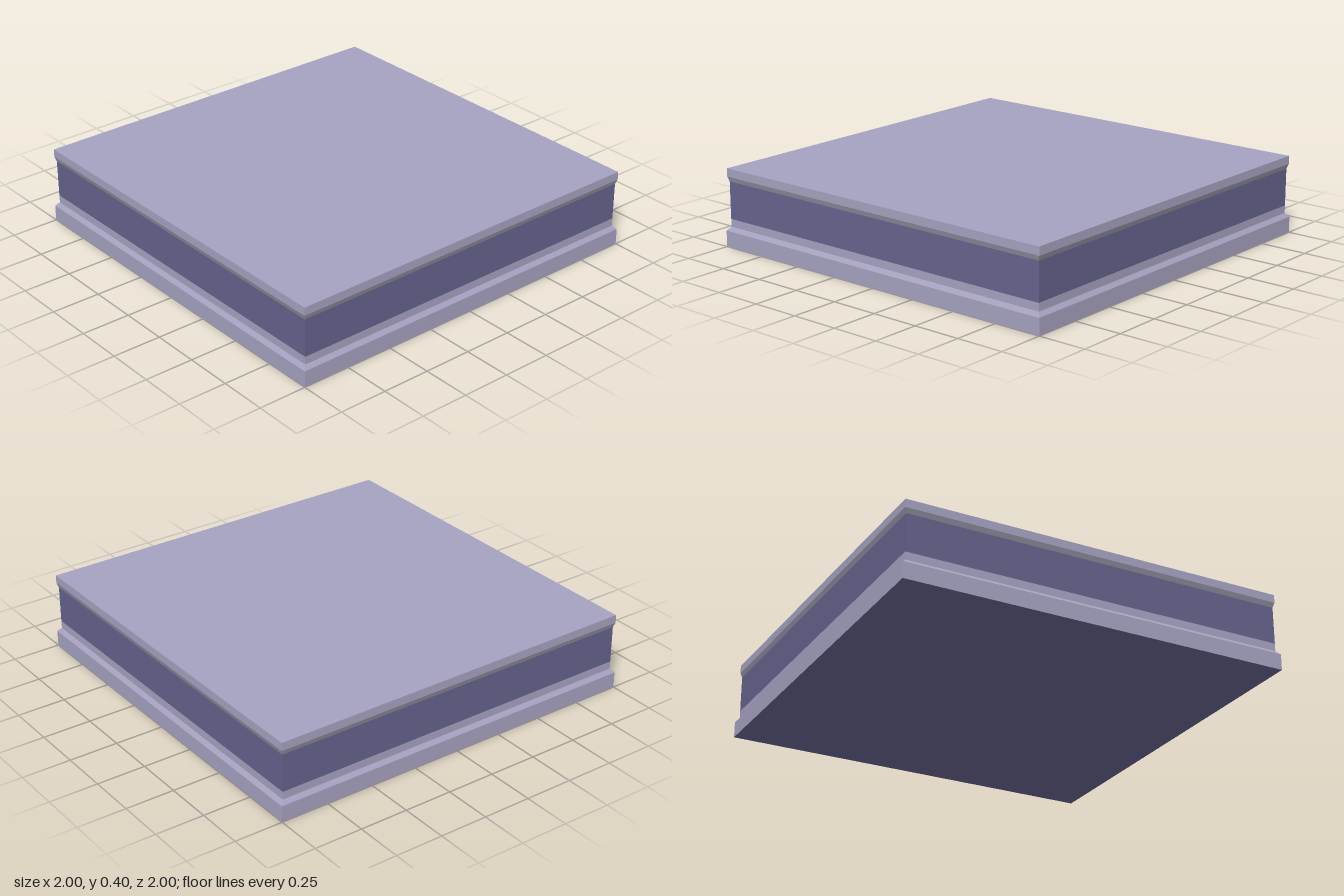
import * as THREE from 'three';

const material = (color) => new THREE.MeshStandardMaterial({ color, flatShading: true });

export function createModel() {
  const group = new THREE.Group();
  const light = material(0xa5a1c0);
  const dark = material(0x65628c);
  const grey = material(0x9896a8);

  // Square ring of four walls, from half-width a at y0 to half-width b at y1
  function band(name, y0, y1, a, b, mat) {
    const geo = new THREE.CylinderGeometry(b * Math.SQRT2, a * Math.SQRT2, y1 - y0, 4, 1, true);
    geo.rotateY(Math.PI / 4);
    geo.translate(0, (y0 + y1) / 2, 0);
    const mesh = new THREE.Mesh(geo, mat);
    mesh.name = name;
    group.add(mesh);
  }

  // Flat square closing the slab, facing up or down
  function face(name, y, half, up, mat) {
    const geo = new THREE.PlaneGeometry(half * 2, half * 2);
    geo.rotateX(up ? -Math.PI / 2 : Math.PI / 2);
    const mesh = new THREE.Mesh(geo, mat);
    mesh.position.y = y;
    mesh.name = name;
    group.add(mesh);
  }

  // Plinth, recessed wall and top trim, bottom to top
  face('underside', 0, 1, false, dark);
  band('plinth', 0, 0.083, 1, 1, light);
  band('plinthBevel', 0.083, 0.103, 1, 0.982, light);
  band('lowerTrim', 0.103, 0.143, 0.982, 0.982, light);
  band('wallPanel', 0.143, 0.335, 0.982, 0.982, dark);
  band('capBevel', 0.335, 0.36, 0.982, 0.99, grey);
  band('capRim', 0.36, 0.402, 0.99, 0.99, light);
  face('topSurface', 0.402, 0.99, true, light);

  return group;
}
